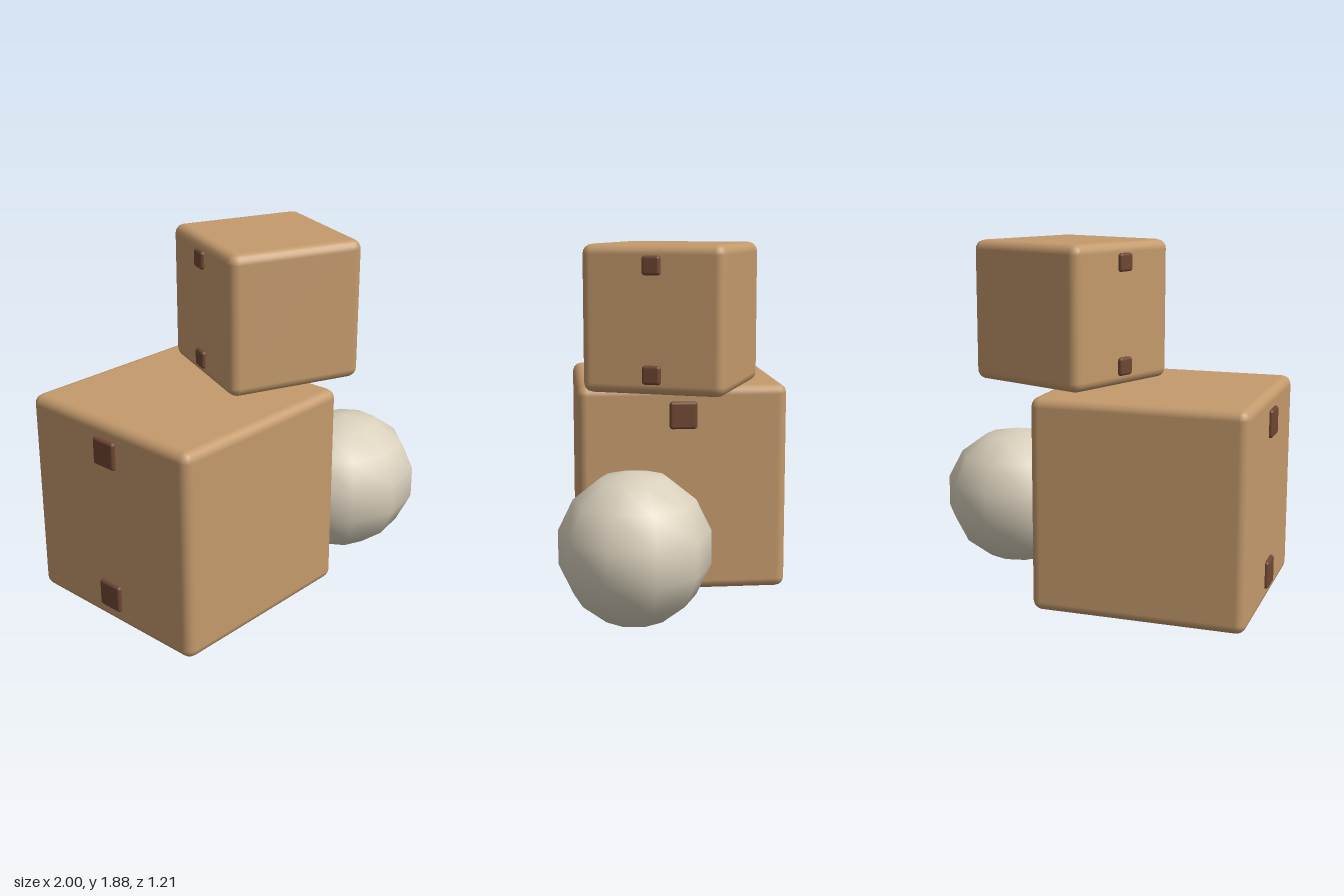
import * as THREE from 'three';
import { RoundedBoxGeometry } from 'three/addons/geometries/RoundedBoxGeometry.js';

function material(name, color) {
  const m = new THREE.MeshStandardMaterial({ color });
  m.name = name;
  return m;
}

export function createModel() {
  const cardboard = material('cardboard', 0xc49a6c);
  const tape = material('brown tape', 0x6f4733);
  const stone = material('pale ball', 0xd9d0bc);
  const model = new THREE.Group();
  model.name = 'boxesAndBall';

  // Rounded cube with square tape tabs near the top and bottom of both sides
  function addBox(name, size, position, turn, tab, tabY) {
    const box = new THREE.Group();
    box.name = name;
    box.position.set(...position);
    box.rotation.y = turn;
    const body = new THREE.Mesh(new RoundedBoxGeometry(size, size, size, 2, 0.05), cardboard);
    body.name = name + 'Body';
    box.add(body);
    const tabGeometry = new RoundedBoxGeometry(0.04, tab, tab, 2, 0.015);
    for (const side of [-1, 1]) {
      for (const level of [-1, 1]) {
        const mesh = new THREE.Mesh(tabGeometry, tape);
        mesh.name = 'tapeTab';
        mesh.position.set(side * size / 2, level * tabY, 0);
        box.add(mesh);
      }
    }
    model.add(box);
  }

  addBox('largeBox', 1.11, [-0.395, 0.585, 0], 0.1, 0.146, 0.4);
  addBox('smallBox', 0.74, [0.16, 1.512, 0], -0.29, 0.095, 0.268);

  // Coarse, smooth-shaded ball, slightly wider along x
  const ball = new THREE.Mesh(new THREE.SphereGeometry(0.39, 10, 7).rotateY(Math.PI / 2), stone);
  ball.name = 'ball';
  ball.scale.set(1.1, 1, 1);
  ball.position.set(0.6, 0.395, 0.19);
  model.add(ball);

  return model;
}
